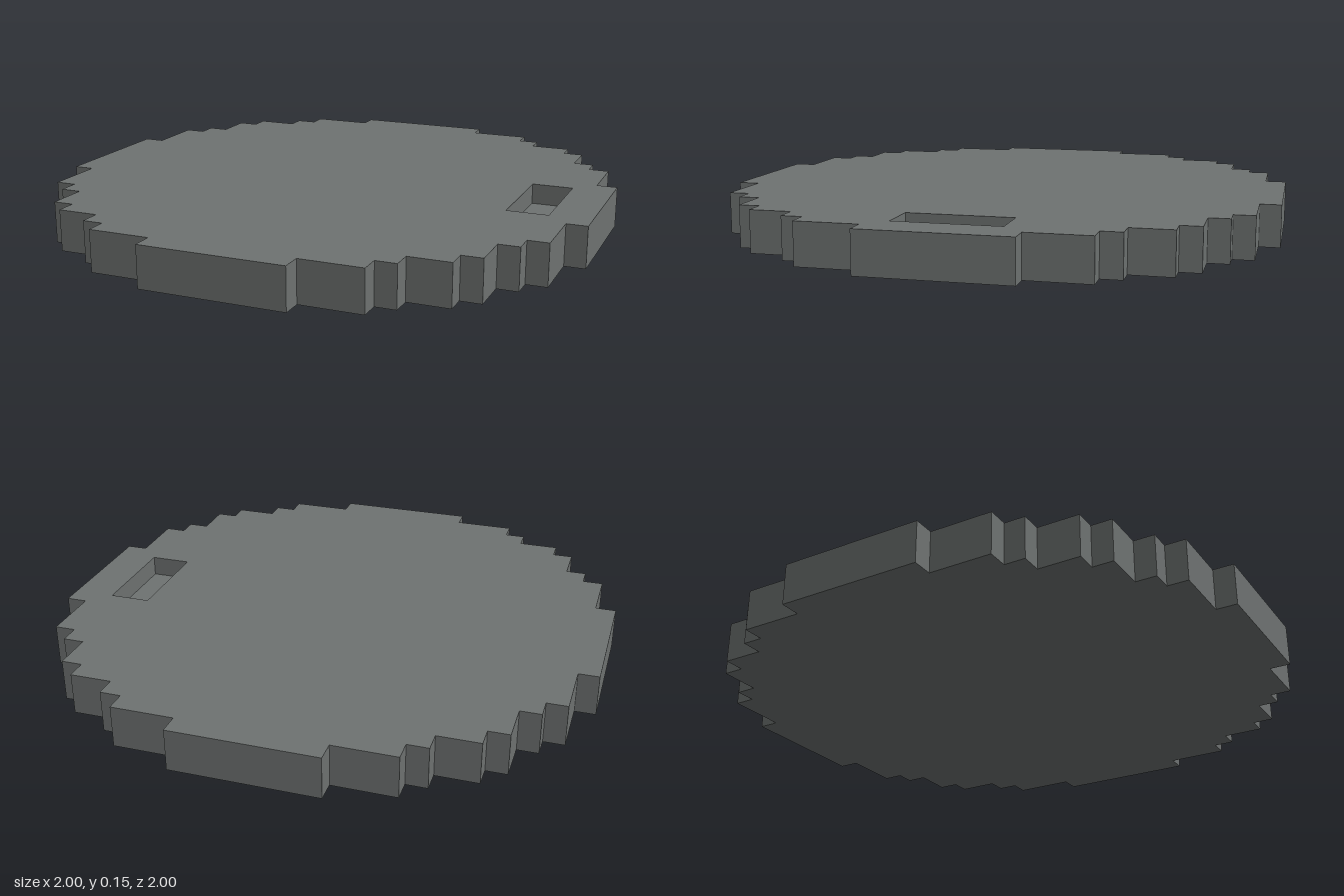
import * as THREE from 'three';
import { mergeGeometries } from 'three/addons/utils/BufferGeometryUtils.js';

const U = 2 / 27; // one block unit; the disc is 27 units across
const HEIGHT = 2 * U;
const FLOOR = U; // height of the recess floor

// One quarter of the stepped rim, counter-clockwise, in block units
const QUARTER = [
  [13.5, 3.5], [12.5, 3.5], [12.5, 6.5], [11.5, 6.5], [11.5, 7.5],
  [10.5, 7.5], [10.5, 9.5], [9.5, 9.5], [9.5, 10.5], [7.5, 10.5],
  [7.5, 11.5], [6.5, 11.5], [6.5, 12.5], [3.5, 12.5], [3.5, 13.5],
];

// Recess rectangle, clockwise so that its walls face inward
const RECESS = [[9.5, -2.5], [9.5, 2.5], [11.5, 2.5], [11.5, -2.5]];

const toPoints = (list) => list.map(([x, y]) => new THREE.Vector2(x * U, y * U));

// Flat horizontal face at height y, facing up or down
function cap(shape, y, up = true) {
  return new THREE.ShapeGeometry(shape)
    .rotateX(up ? -Math.PI / 2 : Math.PI / 2)
    .translate(0, y, 0)
    .toNonIndexed();
}

// Vertical walls along a closed outline, facing right of the direction of travel
function walls(points, y0, y1) {
  const quads = points.map((a, i) => {
    const b = points[(i + 1) % points.length];
    const dx = b.x - a.x, dz = a.y - b.y;
    return new THREE.PlaneGeometry(Math.hypot(dx, dz), y1 - y0)
      .rotateY(Math.atan2(-dz, dx))
      .translate((a.x + b.x) / 2, (y0 + y1) / 2, -(a.y + b.y) / 2)
      .toNonIndexed();
  });
  return mergeGeometries(quads);
}

export function createModel() {
  const group = new THREE.Group();
  group.name = 'steppedDisc';
  const stone = new THREE.MeshStandardMaterial({ color: 0x6e7271 });
  stone.name = 'stone grey';

  const add = (name, geometry) => {
    const mesh = new THREE.Mesh(geometry, stone);
    mesh.name = name;
    group.add(mesh);
  };

  // Full rim: the quarter turned four times
  let quarter = QUARTER;
  const rim = [];
  for (let i = 0; i < 4; i++) {
    rim.push(...quarter);
    quarter = quarter.map(([x, y]) => [-y, x]);
  }
  const rimPoints = toPoints(rim);
  const recessPoints = toPoints(RECESS);

  // Disc body with an opening in its top face
  const topShape = new THREE.Shape(rimPoints);
  topShape.holes.push(new THREE.Path(recessPoints));
  add('discBody', mergeGeometries([
    cap(topShape, HEIGHT),
    cap(new THREE.Shape(rimPoints), 0, false),
    walls(rimPoints, 0, HEIGHT),
  ]));

  // Rectangular recess sunk halfway into the disc
  add('recess', mergeGeometries([
    cap(new THREE.Shape(recessPoints), FLOOR),
    walls(recessPoints, FLOOR, HEIGHT),
  ]));

  return group;
}
